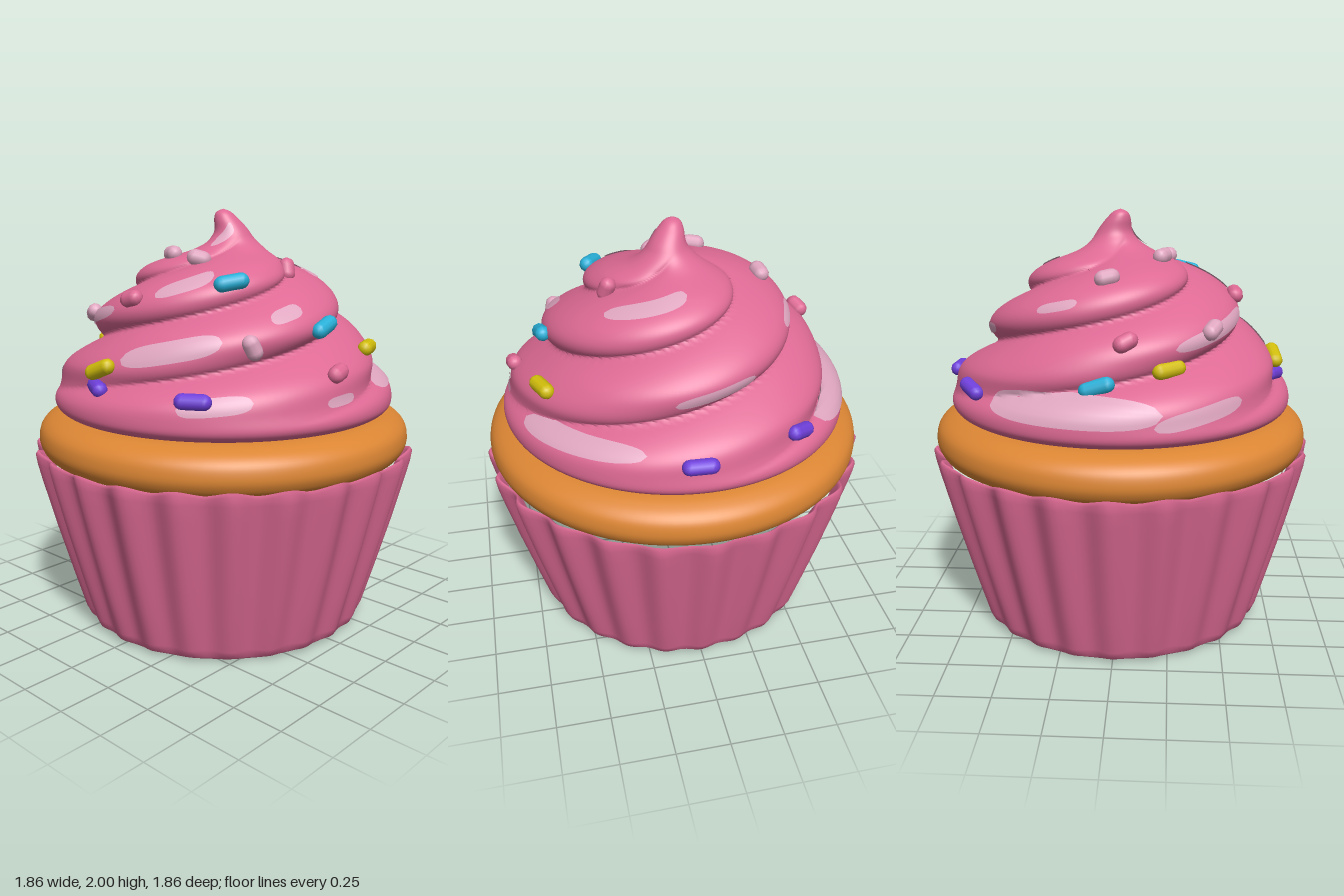
import * as THREE from 'three';
import { mergeVertices } from 'three/addons/utils/BufferGeometryUtils.js';

const mat = (name, color) => {
  const m = new THREE.MeshStandardMaterial({ color });
  m.name = name;
  return m;
};
const { smoothstep, lerp } = THREE.MathUtils;
const TAU = Math.PI * 2;

// Smooth grid surface from fn(u, v): u runs to the right, v runs upward as seen from outside
function surface(cols, rows, fn) {
  const pos = [], idx = [];
  for (let i = 0; i <= rows; i++)
    for (let j = 0; j <= cols; j++) pos.push(...fn(j / cols, i / rows).toArray());
  for (let i = 0; i < rows; i++)
    for (let j = 0; j < cols; j++) {
      const a = i * (cols + 1) + j, c = a + cols + 1;
      idx.push(a, a + 1, c, a + 1, c + 1, c);
    }
  let g = new THREE.BufferGeometry();
  g.setAttribute('position', new THREE.Float32BufferAttribute(pos, 3));
  g.setIndex(idx);
  g = mergeVertices(g, 1e-5);
  g.computeVertexNormals();
  return g;
}

// Frosting profile: radius and height, sampled from a smooth curve
const frostProfile = new THREE.SplineCurve([
  [0.7, 1.04], [0.785, 1.055], [0.825, 1.1], [0.805, 1.18], [0.735, 1.28], [0.655, 1.38],
  [0.6, 1.48], [0.525, 1.58], [0.425, 1.68], [0.31, 1.75], [0.17, 1.81], [0.1, 1.87],
  [0.06, 1.95], [0.035, 1.985], [0, 2],
].map(([r, y]) => new THREE.Vector2(r, y))).getPoints(150);

function profileRadius(y) {
  for (let i = 1; i < frostProfile.length; i++) {
    const a = frostProfile[i - 1], b = frostProfile[i];
    if (y <= b.y) return lerp(a.x, b.x, Math.max(0, (y - a.y) / (b.y - a.y || 1)));
  }
  return 0;
}

// Point on the swirled frosting: three puffy ridges climb round the cone
function frostPoint(y, th) {
  const f = (y - 1.36) / 0.25 - (3 * th) / TAU + 0.5;
  const puff = Math.pow(Math.abs(Math.sin(Math.PI * f)), 0.75) - 0.7;
  const amp = 0.11 * smoothstep(y, 1.1, 1.3) * (1 - smoothstep(y, 1.72, 1.88));
  const r = Math.max(0, profileRadius(y) + amp * puff);
  const lean = 0.03 * smoothstep(y, 1.72, 1.85) * (1 - smoothstep(y, 1.88, 2));
  return new THREE.Vector3(r * Math.sin(th) + lean, y, r * Math.cos(th) - lean);
}

function frostNormal(y, th) {
  const e = 0.012;
  const dt = frostPoint(y, th + e).sub(frostPoint(y, th - e));
  const dy = frostPoint(y + e, th).sub(frostPoint(y - e, th));
  return dt.cross(dy).normalize();
}

export function createModel() {
  const model = new THREE.Group();
  model.name = 'cupcake';
  const pink = mat('pink', 0xde6a94);
  const orange = mat('cake orange', 0xdc8634);
  const pale = mat('pale pink', 0xdfa6c0);
  const purple = mat('purple', 0x7040dc);
  const yellow = mat('yellow', 0xd2be0c);
  const cyan = mat('cyan', 0x28b0d8);
  pale.side = THREE.DoubleSide;

  const add = (name, geometry, material, parent = model) => {
    const mesh = new THREE.Mesh(geometry, material);
    mesh.name = name;
    parent.add(mesh);
    return mesh;
  };

  // Pleated paper wrapper: [radius, height, pleat depth, rim wave]
  const rings = [
    [0, 0, 0, 0], [0.64, 0, 0, 0], [0.665, 0.003, 0.002, 0], [0.69, 0.02, 0.008, 0],
    [0.705, 0.06, 0.012, 0], [0.757, 0.25, 0.016, 0], [0.824, 0.5, 0.02, 0],
    [0.884, 0.74, 0.023, 0], [0.9, 0.81, 0.025, 0.006], [0.908, 0.85, 0.024, 0.014],
    [0.9, 0.864, 0.022, 0.014], [0.885, 0.85, 0.02, 0.012], [0.86, 0.8, 0.01, 0],
  ];
  add('wrapper', surface(240, rings.length - 1, (u, v) => {
    const [r, y, depth, wave] = rings[Math.round(v * (rings.length - 1))];
    const th = u * TAU, c = Math.cos(24 * th);
    const R = r + depth * (c + 0.2 * Math.sin(7 * th));
    return new THREE.Vector3(R * Math.sin(th), y + wave * c, R * Math.cos(th));
  }), pink);

  // Sponge rim bulging over the wrapper
  const cakeCurve = new THREE.SplineCurve([
    [0.8, 0.83], [0.868, 0.845], [0.9, 0.885], [0.908, 0.93], [0.892, 0.985],
    [0.84, 1.025], [0.75, 1.046], [0.5, 1.05], [0, 1.05],
  ].map(([r, y]) => new THREE.Vector2(r, y)));
  add('cake', new THREE.LatheGeometry(cakeCurve.getPoints(40), 96), orange);

  // Swirled frosting
  const last = frostProfile.length - 1;
  add('frosting', surface(144, last, (u, v) =>
    frostPoint(frostProfile[Math.round(v * last)].y, u * TAU)), pink);

  // Glossy streaks lying on the ridges: start angle, end angle, start y, end y, width
  const streaks = new THREE.Group();
  streaks.name = 'frostingStreaks';
  model.add(streaks);
  for (const [t0, t1, y0, y1, w] of [
    [-1.15, -0.27, 1.44, 1.55, 0.06], [0.06, 0.74, 1.36, 1.45, 0.09],
    [0.12, 0.65, 1.63, 1.71, 0.06], [0.0, 0.9, 1.84, 1.92, 0.06],
    [-1.35, -0.8, 1.15, 1.22, 0.07], [-2.35, -1.3, 1.21, 1.2, 0.12],
    [0.5, 0.9, 1.19, 1.22, 0.07], [1.33, 1.56, 1.19, 1.2, 0.045],
    [1.9, 2.8, 1.2, 1.24, 0.06], [2.2, 3.15, 1.68, 1.76, 0.04],
    [2.95, 3.55, 1.41, 1.47, 0.05], [4.05, 4.4, 1.58, 1.62, 0.04],
    [1.1, 1.4, 1.53, 1.57, 0.05],
  ]) {
    add('streak', surface(28, 6, (u, v) => {
      const th = lerp(t0, t1, u);
      const width = w * Math.sqrt(Math.max(0, 1 - Math.pow(2 * u - 1, 4)));
      const y = lerp(y0, y1, u) + (v - 0.5) * width;
      return frostPoint(y, th).addScaledVector(frostNormal(y, th), 0.006);
    }), pale, streaks);
  }

  // Sprinkles: x, y, z give the place, tilt turns each one on the surface
  const sprinkles = new THREE.Group();
  sprinkles.name = 'sprinkles';
  model.add(sprinkles);
  const rod = new THREE.CapsuleGeometry(0.036, 0.09, 4, 10).rotateZ(Math.PI / 2);
  const blob = new THREE.CapsuleGeometry(0.038, 0.04, 4, 10).rotateZ(Math.PI / 2);
  for (const [name, material, geometry, spots] of [
    ['purpleSprinkle', purple, rod, [[0.05, 1.21, -0.79, 0], [-0.42, 1.22, -0.63, -0.25],
      [-0.08, 1.22, 0.78, -0.15], [0.42, 1.22, 0.63, 0]]],
    ['yellowSprinkle', yellow, rod, [[0.61, 1.36, -0.27, 0], [-0.62, 1.36, 0.25, 0.1],
      [-0.05, 1.31, 0.7, 0.4]]],
    ['cyanSprinkle', cyan, rod, [[0.57, 1.49, 0.01, 0.3], [0.3, 1.68, 0.28, 0.2],
      [-0.7, 1.3, -0.07, 0.4]]],
    ['paleSprinkle', pale, blob, [[-0.33, 1.71, -0.03, 0.5], [-0.12, 1.78, 0.17, 0.2],
      [0.05, 1.77, 0.3, -0.3], [0.51, 1.43, 0.38, -1.1], [-0.4, 1.5, 0.37, 0.5]]],
    ['pinkSprinkle', pink, blob, [[0.3, 1.72, -0.08, 1.2], [-0.05, 1.6, 0.5, 0.3],
      [0.7, 1.3, 0.08, 0.4], [-0.57, 1.47, 0.05, 0.6]]],
  ]) {
    for (const [x, y, z, tilt] of spots) {
      const th = Math.atan2(x, z);
      const n = frostNormal(y, th);
      const s = add(name, geometry, material, sprinkles);
      s.position.copy(frostPoint(y, th)).addScaledVector(n, 0.012);
      s.lookAt(s.position.clone().add(n));
      s.rotateZ(tilt);
    }
  }
  return model;
}
